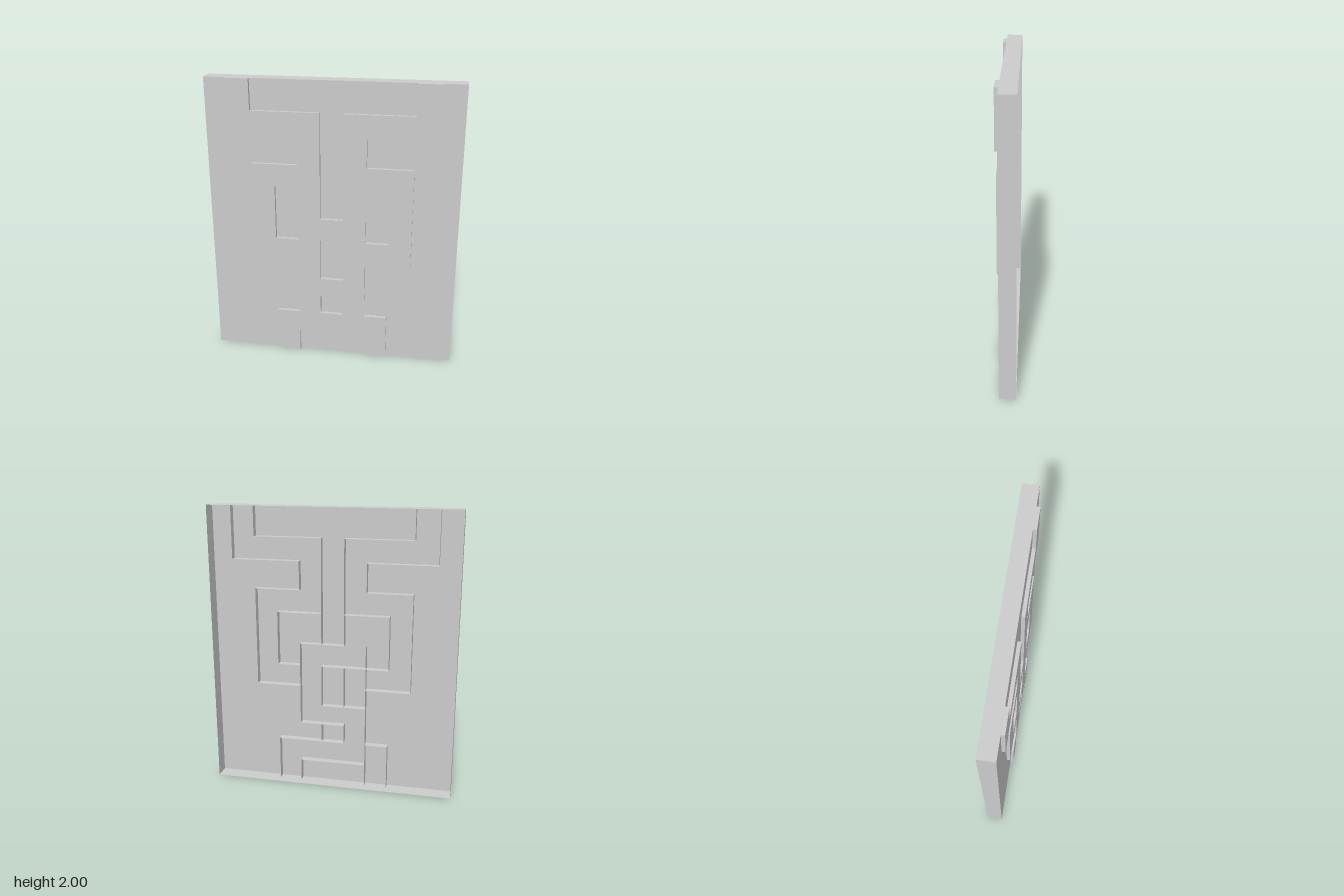
import * as THREE from 'three';

const W = 0.86, H = 2;            // half width, height of the panel
const BACK = -0.067, PLATE = 0.043, RAISED = 0.067, RIB = -0.008;

const material = new THREE.MeshStandardMaterial({
  color: 0xcccccc, flatShading: true, side: THREE.DoubleSide,
});

// Thin sheet standing on the segment (x1,y1)-(x2,y2), spanning z0..z1
function sheet(name, [x1, y1, x2, y2], z0, z1) {
  const length = Math.hypot(x2 - x1, y2 - y1);
  const geometry = new THREE.PlaneGeometry(length, z1 - z0);
  geometry.rotateX(Math.PI / 2);
  geometry.rotateZ(Math.atan2(y2 - y1, x2 - x1));
  geometry.translate((x1 + x2) / 2, (y1 + y2) / 2, (z0 + z1) / 2);
  const mesh = new THREE.Mesh(geometry, material);
  mesh.name = name;
  return mesh;
}

const rectangle = (x0, y0, x1, y1) => new THREE.Path(
  [[x0, y0], [x1, y0], [x1, y1], [x0, y1]].map(([x, y]) => new THREE.Vector2(x, y)));

export function createModel() {
  const model = new THREE.Group();
  model.name = 'reliefPanel';

  // Shallow tray, open at the back
  const tray = new THREE.Group();
  tray.name = 'tray';
  const plate = new THREE.Mesh(new THREE.PlaneGeometry(2 * W, H), material);
  plate.name = 'frontPlate';
  plate.position.set(0, H / 2, PLATE);
  tray.add(plate);
  tray.add(sheet('topWall', [-W, H, W, H], BACK, PLATE));
  tray.add(sheet('bottomWall', [-W, 0, W, 0], BACK, PLATE));
  tray.add(sheet('leftWall', [W, 0, W, H], BACK, PLATE));
  tray.add(sheet('rightWall', [-W, 0, -W, H], BACK, PLATE));
  model.add(tray);

  // Raised face of the pattern: half outline mirrored, with four windows
  const half = [
    [0.08, 1.05], [0.08, 1.79], [0.55, 1.79], [0.55, 2], [0.71, 2], [0.71, 1.63],
    [0.235, 1.63], [0.235, 1.43], [0.55, 1.43], [0.55, 0.735], [0.235, 0.735],
    [0.235, 0.32], [0.395, 0.32], [0.395, 0], [0.235, 0], [0.235, 0.16],
  ];
  const outline = [...half, ...half.map(([x, y]) => [-x, y]).reverse()];
  const shape = new THREE.Shape(outline.map(([x, y]) => new THREE.Vector2(x, y)));
  shape.holes.push(
    rectangle(0.235, 0.89, 0.395, 1.27), rectangle(-0.395, 0.89, -0.235, 1.27),
    rectangle(-0.08, 0.595, 0.08, 0.89), rectangle(-0.08, 0.32, 0.08, 0.455),
  );
  const face = new THREE.Mesh(new THREE.ShapeGeometry(shape), material);
  face.name = 'raisedPattern';
  face.position.z = RAISED;
  model.add(face);

  // Thin ribs along the pattern edges, passing through the plate
  const ribs = new THREE.Group();
  ribs.name = 'patternRibs';
  const mirrored = [
    [0.71, 2, 0.71, 1.63], [0.71, 1.63, 0.235, 1.63], [0.235, 1.63, 0.235, 1.43],
    [0.235, 1.43, 0.55, 1.43], [0.55, 1.43, 0.55, 0.735], [0.55, 0.735, 0.235, 0.735],
    [0.08, 1.05, 0.08, 1.79], [0.08, 1.79, 0.55, 1.79], [0.55, 1.79, 0.55, 2],
    [0.08, 1.27, 0.395, 1.27], [0.395, 1.27, 0.395, 0.89], [0.395, 0.89, 0.235, 0.89],
    [0.235, 1.05, 0.235, 0.455], [0.08, 0.595, 0.08, 0.89], [0.08, 0.32, 0.08, 0.455],
    [0.395, 0.32, 0.395, 0], [0.235, 0.16, 0.235, 0],
  ];
  const single = [
    [0.235, 1.05, -0.08, 1.05], [0.08, 0.89, -0.235, 0.89], [0.08, 0.595, -0.235, 0.595],
    [0.235, 0.455, -0.08, 0.455], [0.395, 0.32, -0.08, 0.32], [-0.235, 0.32, -0.395, 0.32],
    [-0.235, 0.16, 0.235, 0.16], [-0.235, 0.455, -0.235, 0.16],
  ];
  for (const [x1, y1, x2, y2] of mirrored) {
    for (const s of [1, -1]) ribs.add(sheet('rib', [s * x1, y1, s * x2, y2], RIB, RAISED));
  }
  for (const segment of single) ribs.add(sheet('rib', segment, RIB, RAISED));
  model.add(ribs);

  // Small end faces where the pattern meets the panel's top and bottom
  for (const s of [1, -1]) {
    model.add(sheet('topEnd', [s * 0.55, H, s * 0.71, H], PLATE, RAISED));
    model.add(sheet('bottomEnd', [s * 0.235, 0, s * 0.395, 0], PLATE, RAISED));
  }
  return model;
}
